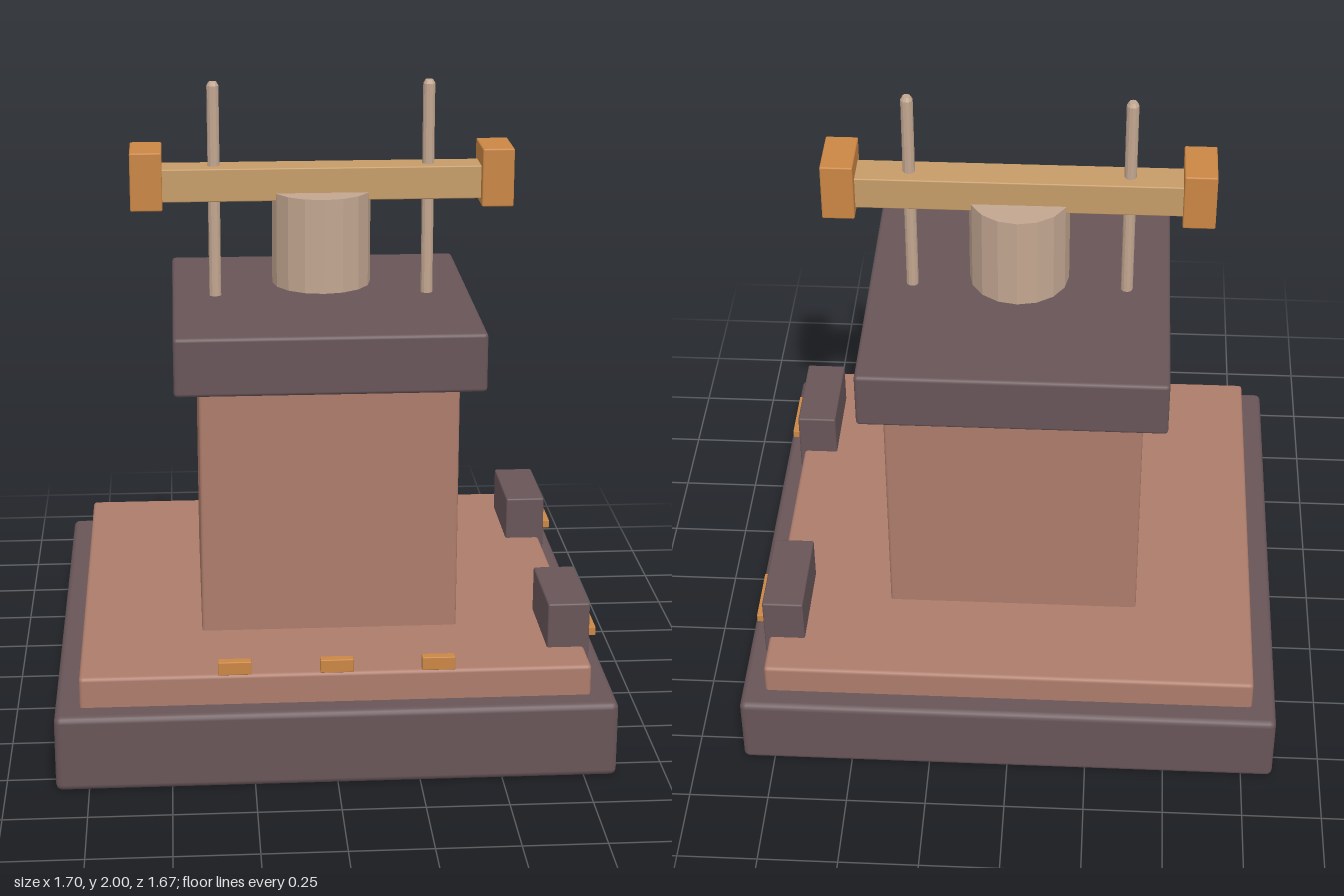
import * as THREE from 'three';
import { RoundedBoxGeometry } from 'three/addons/geometries/RoundedBoxGeometry.js';

const mat = (name, color, flatShading = false) => {
  const m = new THREE.MeshStandardMaterial({ color });
  m.name = name;
  m.flatShading = flatShading;
  return m;
};

export function createModel() {
  const group = new THREE.Group();
  const dark = mat('dark stone', 0x685558);
  const brick = mat('terracotta', 0xad7c6b);
  const pale = mat('pale metal', 0xc2a690, true);
  const wood = mat('tan beam', 0xc69c69);
  const orange = mat('orange', 0xca8644);

  const add = (name, geometry, material, x, y, z) => {
    const mesh = new THREE.Mesh(geometry, material);
    mesh.name = name;
    mesh.position.set(x, y, z);
    group.add(mesh);
    return mesh;
  };
  // Softened box given by its size and the height of its bottom
  const box = (name, material, w, h, d, x, bottom, z, r = 0.01) =>
    add(name, new RoundedBoxGeometry(w, h, d, 2, r), material, x, bottom + h / 2, z);

  // Stepped base, column and cap
  box('base', dark, 1.7, 0.24, 1.67, 0, 0.005, 0, 0.02);
  box('plinth', brick, 1.55, 0.14, 1.525, 0, 0.2, 0, 0.012);
  box('column', brick, 0.8, 0.83, 0.85, 0, 0.32, 0);
  box('cap', dark, 0.95, 0.185, 0.99, 0, 1.13, 0, 0.012);

  // Hanging drum
  add('drum', new THREE.CylinderGeometry(0.156, 0.156, 0.3, 16), pale, 0, 1.505, 0);

  // Cross beam with end blocks and upright rods
  box('beam', wood, 1.02, 0.105, 0.11, 0, 1.63, 0, 0.004);
  const rodProfile = [[0, 1.28], [0.019, 1.28], [0.019, 1.988], [0.012, 2], [0, 2]]
    .map(([r, y]) => new THREE.Vector2(r, y));
  for (const s of [-1, 1]) {
    box('beamEnd', orange, 0.1, 0.185, 0.178, s * 0.55, 1.61, 0, 0.005);
    add('rod', new THREE.LatheGeometry(rodProfile, 12), pale, s * 0.338, 0, 0);
  }

  // Side boxes with a bar on the outer face
  for (const s of [-1, 1]) {
    box('sideBox', dark, 0.13, 0.215, 0.308, 0.725, 0.268, s * 0.465, 0.006);
    box('sideBar', orange, 0.04, 0.028, 0.195, 0.8, 0.352, s * 0.466, 0.002);
  }

  // Small blocks along the front edge
  for (const x of [-0.308, -0.002, 0.304])
    box('frontBlock', orange, 0.1, 0.042, 0.03, x, 0.357, 0.787, 0.003);

  return group;
}
